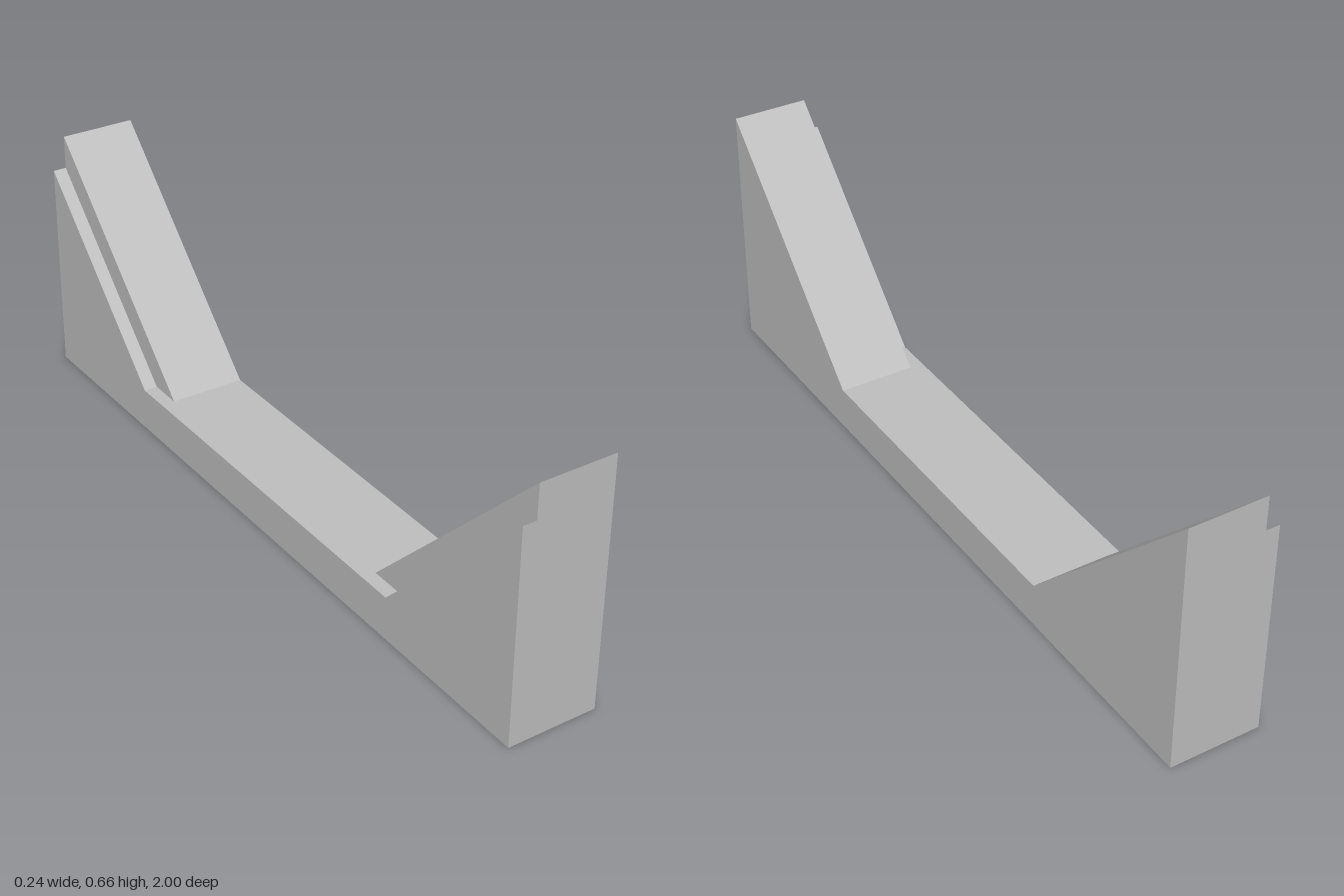
import * as THREE from 'three';

const grey = new THREE.MeshStandardMaterial({ color: 0xc0c0c0 });
grey.name = 'plain grey';

const HALF_W = 0.119;   // half width of the bracket
const STEP_X = -0.083;  // where the ramp steps down to the ledge
const BASE_H = 0.115;

// Ramp rising from the base to the outer end; side is +1 (front) or -1 (back)
function ramp(name, side, zInner, top, xMin, xMax) {
  const profile = new THREE.Shape([
    new THREE.Vector2(side * zInner, BASE_H),
    new THREE.Vector2(side, BASE_H),
    new THREE.Vector2(side, top),
  ]);
  const geometry = new THREE.ExtrudeGeometry(profile, { depth: xMax - xMin, bevelEnabled: false });
  geometry.rotateY(-Math.PI / 2).translate(xMax, 0, 0);
  const mesh = new THREE.Mesh(geometry, grey);
  mesh.name = name;
  return mesh;
}

// Long base bar with two screw holes under each ramp
function baseBar() {
  const outline = new THREE.Shape([
    new THREE.Vector2(-HALF_W, -1),
    new THREE.Vector2(HALF_W, -1),
    new THREE.Vector2(HALF_W, 1),
    new THREE.Vector2(-HALF_W, 1),
  ]);
  for (const x of [-0.058, 0.058]) {
    for (const z of [-0.804, 0.804]) {
      outline.holes.push(new THREE.Path().absarc(x, z, 0.028, 0, Math.PI * 2, true));
    }
  }
  const geometry = new THREE.ExtrudeGeometry(outline, { depth: BASE_H, bevelEnabled: false, curveSegments: 32 });
  geometry.rotateX(-Math.PI / 2);
  const mesh = new THREE.Mesh(geometry, grey);
  mesh.name = 'baseBar';
  return mesh;
}

export function createModel() {
  const model = new THREE.Group();
  model.name = 'cradleBracket';
  model.add(baseBar());
  for (const [end, side] of [['front', 1], ['back', -1]]) {
    model.add(ramp(end + 'Ramp', side, 0.455, 0.66, STEP_X, HALF_W));
    model.add(ramp(end + 'Ledge', side, 0.545, 0.57, -HALF_W, STEP_X));
  }
  return model;
}
